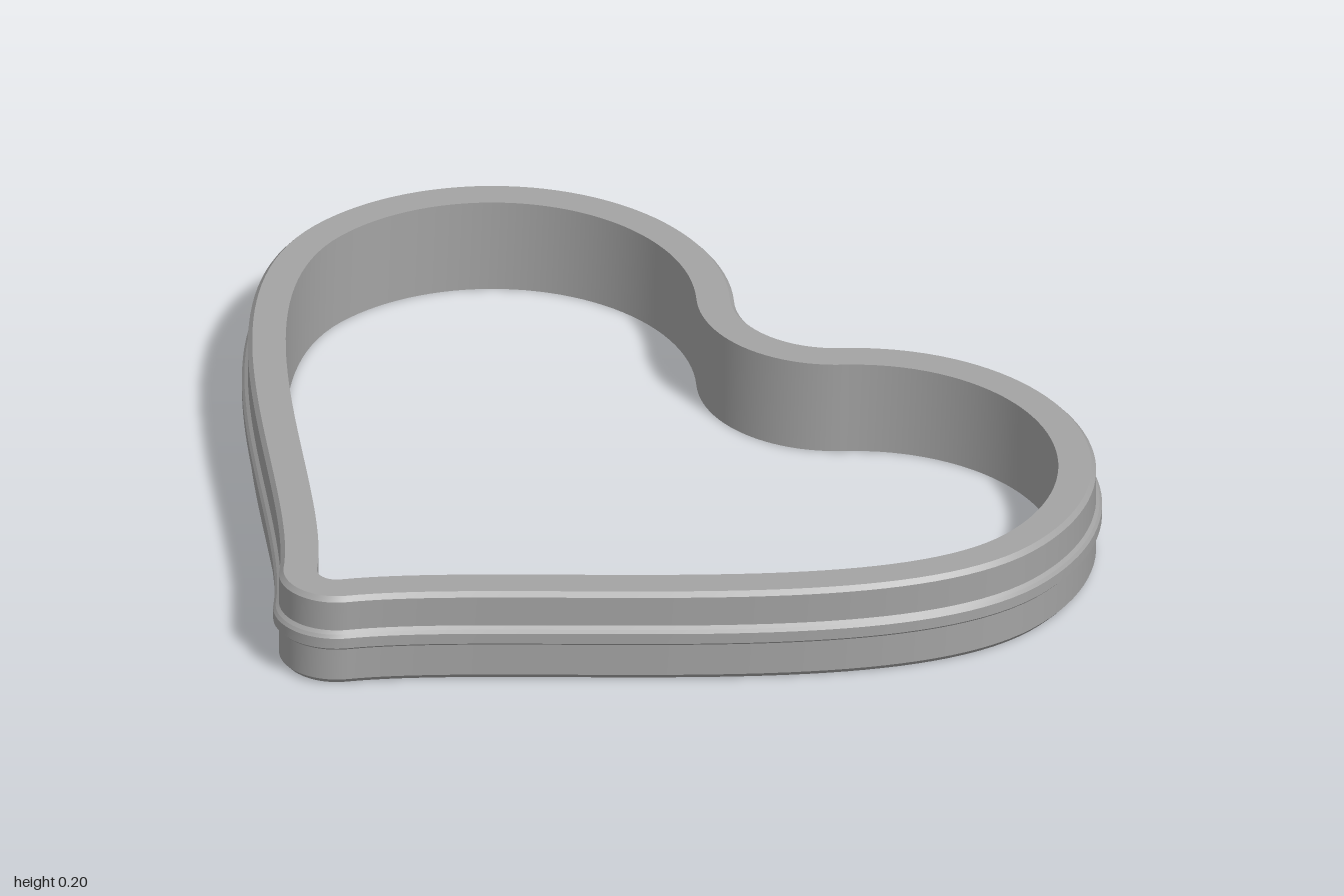
import * as THREE from 'three';
import { mergeGeometries } from 'three/addons/utils/BufferGeometryUtils.js';

// Inner heart outline: points (x, z) with their outward normals (nx, nz)
function heartOutline() {
  const half = [];
  const arc = (cx, cz, r, from, to, steps, sign, first) => {
    for (let i = first; i <= steps; i++) {
      const a = THREE.MathUtils.degToRad(from + (to - from) * i / steps);
      const c = Math.cos(a), s = Math.sin(a);
      half.push([cx + r * c, cz + r * s, sign * c, sign * s]);
    }
  };
  // notch, lobe, long side, tip
  arc(0, -0.82, 0.285, 90, 45, 12, -1, 0);
  arc(0.495, -0.325, 0.415, 225, 360, 40, 1, 1);
  const side = new THREE.CubicBezierCurve(
    new THREE.Vector2(0.91, -0.325), new THREE.Vector2(0.91, 0.03),
    new THREE.Vector2(0.242, 0.439), new THREE.Vector2(0.032, 0.719));
  for (let i = 1; i <= 40; i++) {
    const p = side.getPoint(i / 40), t = side.getTangent(i / 40);
    half.push([p.x, p.y, t.y, -t.x]);
  }
  arc(0, 0.695, 0.04, 36.87, 90, 10, 1, 1);
  // mirror the other half, leaving out the two points on the axis
  const other = half.slice(1, -1).reverse().map(([x, z, nx, nz]) => [-x, z, -nx, nz]);
  return [...half, ...other];
}

// Sweep a profile of (offset, height) points round the outline, with a crisp edge at each point
function sweep(outline, profile) {
  const strips = [];
  const n = outline.length;
  for (let k = 0; k < profile.length - 1; k++) {
    const pos = [], index = [];
    outline.forEach(([x, z, nx, nz], i) => {
      for (const [u, y] of [profile[k], profile[k + 1]]) pos.push(x + nx * u, y, z + nz * u);
      const a = 2 * i, c = 2 * ((i + 1) % n);
      index.push(a, a + 1, c, c, a + 1, c + 1);
    });
    const g = new THREE.BufferGeometry();
    g.setAttribute('position', new THREE.Float32BufferAttribute(pos, 3));
    g.setIndex(index);
    g.computeVertexNormals();
    strips.push(g);
  }
  return mergeGeometries(strips);
}

export function createModel() {
  const group = new THREE.Group();
  group.name = 'heartFrame';
  const grey = new THREE.MeshStandardMaterial({ color: 0xa3a3a3 });
  grey.name = 'grey';
  const outline = heartOutline();

  const add = (name, profile) => {
    const mesh = new THREE.Mesh(sweep(outline, profile), grey);
    mesh.name = name;
    group.add(mesh);
  };

  // upright wall with chamfered outer edges
  add('wall', [
    [0, 0], [0.066, 0], [0.077, 0.012], [0.077, 0.192], [0.068, 0.202], [0, 0.202], [0, 0],
  ]);
  // raised bead round the middle of the outside
  add('bead', [
    [0.076, 0.084], [0.084, 0.086], [0.089, 0.091], [0.089, 0.114], [0.084, 0.121], [0.076, 0.128],
  ]);
  return group;
}
